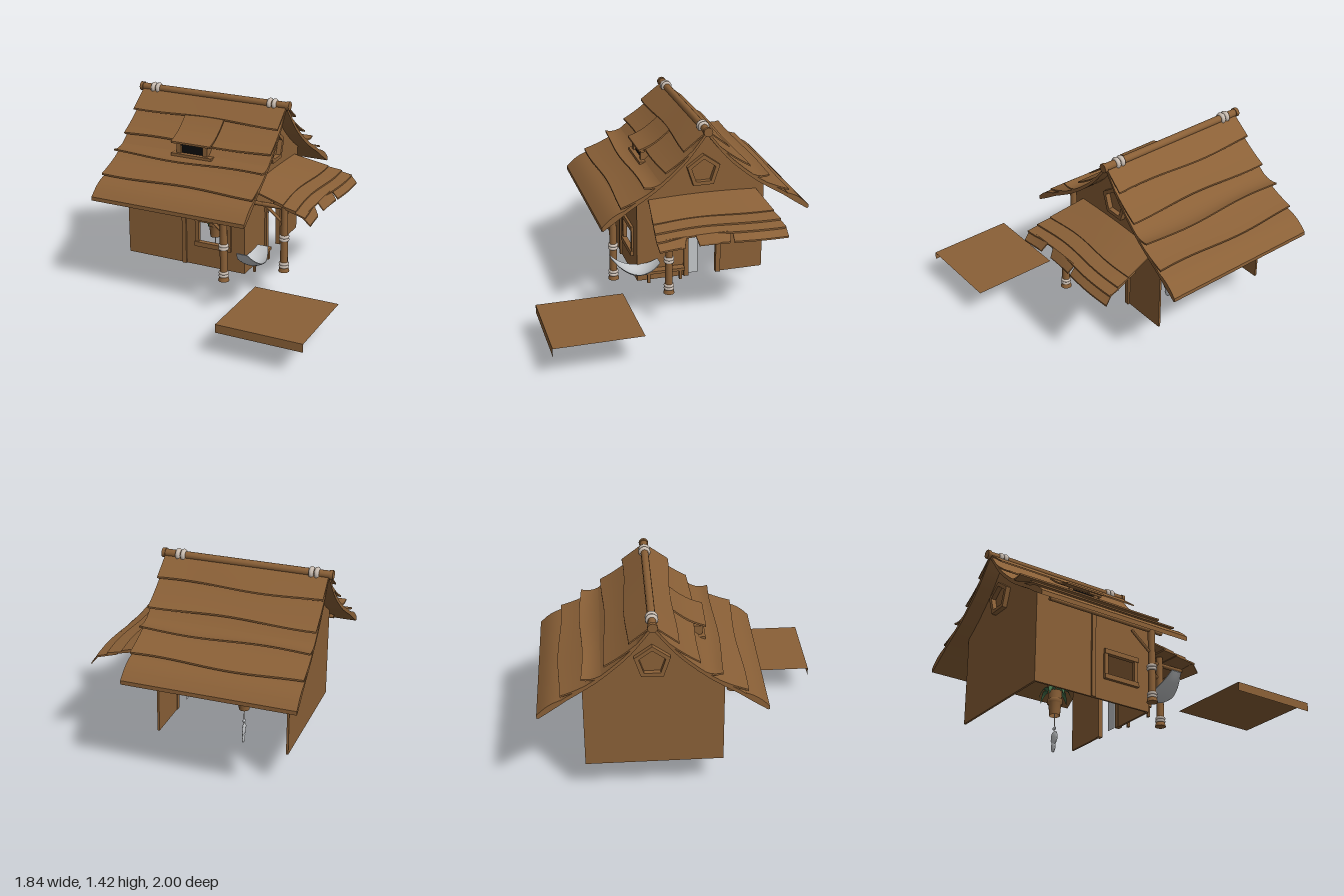
import * as THREE from 'three';

const mat = (name, color, side = THREE.FrontSide) => {
  const m = new THREE.MeshStandardMaterial({ color, side });
  m.name = name;
  return m;
};

export function createModel() {
  const wood = mat('wood', 0x8a6037, THREE.DoubleSide);
  const rope = mat('rope', 0xc9bdb2);
  const cloth = mat('cloth', 0xc2c5c8, THREE.DoubleSide);
  const leaf = mat('leaf', 0x44704a, THREE.DoubleSide);
  const dark = mat('dark opening', 0x0c0c0c);
  const root = new THREE.Group();
  root.name = 'hut';
  const V = (x, y, z) => new THREE.Vector3(x, y, z);
  const lerp = THREE.MathUtils.lerp;

  const add = (name, geo, m, parent = root) => {
    const mesh = new THREE.Mesh(geo, m);
    mesh.name = name;
    parent.add(mesh);
    return mesh;
  };
  const box = (name, x0, x1, y0, y1, z0, z1, m = wood) => {
    const b = add(name, new THREE.BoxGeometry(x1 - x0, y1 - y0, z1 - z0), m);
    b.position.set((x0 + x1) / 2, (y0 + y1) / 2, (z0 + z1) / 2);
    return b;
  };
  const rod = (name, a, b, r0, r1 = r0, m = wood) => {
    const d = b.clone().sub(a);
    const c = add(name, new THREE.CylinderGeometry(r1, r0, d.length(), 12), m);
    c.position.copy(a).add(b).multiplyScalar(0.5);
    c.quaternion.setFromUnitVectors(V(0, 1, 0), d.normalize());
    return c;
  };
  // Bent board: rule(a, c) gives a point for a, c in 0..1, thickness is added in y
  const slab = (name, rule, thick, m = wood, parent = root, na = 16, nc = 6) => {
    const g = new THREE.BoxGeometry(1, 1, 1, na, 1, nc), p = g.attributes.position;
    for (let i = 0; i < p.count; i++) {
      const [x, y, z] = rule(p.getX(i) + 0.5, p.getZ(i) + 0.5);
      p.setXYZ(i, x, y + p.getY(i) * thick, z);
    }
    g.computeVertexNormals();
    return add(name, g, m, parent);
  };
  const shapeOf = pts => new THREE.Shape(pts.map(p => new THREE.Vector2(p[0], p[1])));
  const extrude = (shape, depth) => new THREE.ExtrudeGeometry(shape, { depth, bevelEnabled: false });

  // Roof profile: distance from the ridge line and height
  const RIDGE = -0.24;
  const deck = [[0, 1.365], [0.08, 1.26], [0.16, 1.165], [0.26, 1.075], [0.36, 0.995],
    [0.46, 0.93], [0.56, 0.87], [0.66, 0.8], [0.76, 0.735]];
  const deckY = o => {
    const i = Math.min(7, Math.max(0, deck.findIndex(d => d[0] > o) - 1));
    const k = o >= 0.76 ? 7 : i, [a, b] = [deck[k], deck[k + 1]];
    return lerp(a[1], b[1], (o - a[0]) / (b[0] - a[0]));
  };
  const roofX = (a, o) => lerp(-0.893 - 0.034 * o, 0.253 + 0.034 * o, a);

  // Main roof: a deck, an eave lip and overlapping plank courses, mirrored at the ridge
  const courses = [[0.0, 1.375, 0.16, 1.25, 0], [0.1, 1.245, 0.305, 1.1, 0.008],
    [0.28, 1.065, 0.46, 1.01, 0.028], [0.38, 0.985, 0.61, 0.885, 0.008]];
  for (const s of [1, -1]) {
    const side = new THREE.Group();
    side.name = s > 0 ? 'frontRoof' : 'backRoof';
    side.position.z = RIDGE;
    side.scale.z = s;
    root.add(side);
    slab('roofDeck', (a, c) => [roofX(a, c * 0.75), deckY(c * 0.75), c * 0.75], 0.03, wood, side, 1, 16);
    slab('eaveLip', (a, c) => {
      const o = lerp(0.6, 0.757, c);
      return [roofX(a, o), deckY(o) + 0.018 * Math.sin(c * Math.PI) + 0.005, o];
    }, 0.028, wood, side);
    courses.forEach(([o0, y0, o1, y1, sag], i) => slab('roofCourse', (a, c) => {
      const wave = 0.01 * Math.sin(a * 7 + i * 2 + s) * c;
      const o = lerp(o0, o1, c) + wave;
      return [roofX(a, o), lerp(y0, y1, c) - sag * 4 * c * (1 - c) - wave * 0.5, o];
    }, 0.012, wood, side));
  }

  // Ridge pole with rope lashings
  rod('ridgePole', V(-0.9, 1.375, RIDGE), V(0.26, 1.375, RIDGE), 0.027);
  for (const x of [-0.91, 0.265]) rod('ridgeEnd', V(x - 0.012, 1.375, RIDGE), V(x + 0.012, 1.375, RIDGE), 0.033);
  for (const x of [-0.812, -0.775, 0.125, 0.162]) {
    const t = add('ridgeRope', new THREE.TorusGeometry(0.024, 0.018, 8, 18), rope);
    t.rotation.y = Math.PI / 2;
    t.position.set(x, 1.375, RIDGE);
  }

  // Front wall with window hole
  const front = shapeOf([[-0.785, 0.25], [0.15, 0.25], [0.15, 0.9], [-0.785, 0.9]]);
  front.holes.push(shapeOf([[-0.205, 0.44], [-0.205, 0.595], [0.018, 0.595], [0.018, 0.44]]));
  add('frontWall', extrude(front, 0.015), wood).position.z = 0.222;
  box('windowTop', -0.235, 0.05, 0.595, 0.63, 0.23, 0.255);
  box('windowSill', -0.235, 0.05, 0.405, 0.44, 0.23, 0.26);
  for (const x of [-0.235, 0.018]) box('windowSide', x, x + 0.03, 0.44, 0.595, 0.23, 0.25);
  box('wallBatten', -0.34, -0.308, 0.25, 0.88, 0.232, 0.25);

  // Gable walls; the one on the porch side has a doorway
  const slope = deck.filter(d => d[0] < 0.46).map(([o, y]) => [o, y - 0.01]);
  const top = [[0.235, 0.915], ...slope.slice().reverse().map(([o, y]) => [RIDGE + o, y]),
    ...slope.slice(1).map(([o, y]) => [RIDGE - o, y]), [-0.7, 0.92]];
  const door = [[-0.345, 0.25], [-0.345, 0.6], [-0.14, 0.6], [-0.14, 0.25]];
  const gable = (name, pts, x) => {
    const g = add(name, extrude(shapeOf(pts), 0.015), wood);
    g.rotation.y = -Math.PI / 2;
    g.position.x = x;
  };
  gable('doorWall', [[-0.7, 0.25], ...door, [0.235, 0.25], ...top], 0.15);
  gable('sideWall', [[-0.7, 0.25], [0.235, 0.25], ...top], -0.77);
  for (const z of [-0.38, -0.14]) box('doorJamb', 0.13, 0.165, 0.25, 0.6, z, z + 0.035);
  box('doorHead', 0.13, 0.17, 0.6, 0.635, -0.385, -0.1);
  // Curtain gathered to one side of the doorway
  const curtain = add('doorCurtain', new THREE.ShapeGeometry(
    shapeOf([[-0.22, 0.25], [-0.14, 0.25], [-0.14, 0.6], [-0.3, 0.6], [-0.22, 0.53]])), cloth);
  curtain.rotation.y = -Math.PI / 2;
  curtain.position.x = 0.125;

  // Five-sided gable frames
  const penta = r => [0, 1, 2, 3, 4].map(i => {
    const t = Math.PI / 2 + i * Math.PI * 0.4;
    return [r * Math.cos(t), r * Math.sin(t)];
  });
  for (const x of [0.185, -0.75]) {
    const ring = shapeOf(penta(0.125));
    ring.holes.push(shapeOf(penta(0.092)));
    const f = add('gableFrame', extrude(ring, 0.07), wood);
    f.rotation.y = -Math.PI / 2;
    f.position.set(x, 1.055, RIDGE);
  }

  // Roof vent with propped flap
  slab('ventFlap', (a, c) => [lerp(-0.478, -0.168, a), lerp(1.25, 1.115, c) - 0.02 * Math.sin(c * Math.PI),
    lerp(-0.09, 0.137, c)], 0.014);
  box('ventOpening', -0.42, -0.225, 1.03, 1.105, 0.0, 0.1, dark);
  for (const x of [-0.445, -0.235]) box('ventSide', x, x + 0.035, 1.02, 1.1, -0.04, 0.115);
  box('ventSill', -0.478, -0.158, 1.01, 1.034, 0.06, 0.135);
  box('ventProp', -0.28, -0.175, 1.1, 1.115, 0.09, 0.12);

  // Porch awning in three courses, the last one ending in split tongues
  const awnZ = (x, c) => {
    const k = (x - 0.27) / 0.36;
    return lerp(lerp(-0.66, -0.72, k), lerp(0.17, 0.22, k), c);
  };
  const awning = (x0, y0, x1, y1, c0, c1, taper = 0) => slab('awningCourse', (a, c) => {
    const cc = lerp(c0 + taper * a, c1 - taper * a, c);
    const x = lerp(x0, x1, a) + 0.012 * a * Math.sin(cc * 7);
    return [x, lerp(y0, y1, a) + 0.012 * Math.sin(cc * Math.PI), awnZ(x, cc)];
  }, 0.012, wood, root, 4, 14);
  awning(0.15, 0.865, 0.41, 0.8, 0, 1);
  awning(0.34, 0.805, 0.51, 0.775, 0, 1);
  awning(0.44, 0.78, 0.585, 0.745, 0, 1);
  for (const [c0, c1] of [[0, 0.42], [0.43, 0.7], [0.77, 1]]) awning(0.575, 0.748, 0.622, 0.69, c0, c1, c0 ? 0.02 : 0);

  // Porch posts with flared feet, ropes and braces
  for (const [x, z, h] of [[0.062, 0.39, 0.82], [0.38, 0.068, 0.79]]) {
    rod('porchPost', V(x, 0.25, z), V(x, h, z), 0.028, 0.025);
    rod('postFoot', V(x, 0.25, z), V(x, 0.29, z), 0.04, 0.029);
    for (const y of [0.289, 0.311, 0.496, 0.518]) {
      const t = add('postRope', new THREE.TorusGeometry(0.025, 0.012, 8, 18), rope);
      t.rotation.x = Math.PI / 2;
      t.position.set(x, y, z);
    }
    rod('postBrace', V(x, 0.61, z), V(x - 0.17, 0.75, z), 0.011);
  }
  rod('porchBeam', V(0.13, 0.735, 0.068), V(0.58, 0.735, 0.068), 0.016);
  rod('frontBeam', V(-0.78, 0.79, 0.39), V(0.15, 0.79, 0.39), 0.014);

  // Hammock
  slab('hammock', (a, c) => {
    const k = 2 * a - 1, w = 0.04 + 0.048 * Math.sin(Math.PI * c);
    return [0.23 + k * w, 0.505 - 0.535 * c + 0.46 * c * c + 0.03 * k * k * Math.sin(Math.PI * c), lerp(0.1, 0.45, 1 - c)];
  }, 0.006, cloth, root, 10, 14).material = cloth;

  // Bench against the wall
  box('benchSeat', 0.15, 0.21, 0.318, 0.338, -0.1, 0.19);
  for (const z of [-0.08, 0.155]) box('benchLeg', 0.188, 0.204, 0.25, 0.318, z, z + 0.02);

  // Platform: deck board and front skirt
  const platform = add('platformTop', new THREE.PlaneGeometry(0.62, 0.62), wood);
  platform.rotation.x = -Math.PI / 2;
  platform.position.set(0.61, 0.245, 0.69);
  add('platformSkirt', new THREE.PlaneGeometry(0.62, 0.06), wood).position.set(0.61, 0.215, 1);

  // Hanging planter with leaves
  const px = -0.32;
  const pot = [[0.038, 0.27], [0.046, 0.36], [0.056, 0.362], [0.056, 0.39], [0.047, 0.392], [0.055, 0.5]];
  add('planter', new THREE.LatheGeometry(pot.map(p => new THREE.Vector2(...p)), 16), wood).position.set(px, 0, RIDGE);
  for (let i = 0; i < 7; i++) {
    const l = slab('leaf', (a, c) => [(a - 0.5) * 0.05 * Math.sin(Math.PI * Math.min(1, c * 0.9 + 0.1)),
      0.07 * Math.sin(c * 2.6) - 0.07 * c * c, 0.03 + c * 0.09], 0.003, leaf, root, 2, 6);
    l.position.set(px, 0.42, RIDGE);
    l.rotation.y = i * Math.PI * 2 / 7;
  }

  // Shell chime below the planter
  rod('chimeString', V(px, 0.1, RIDGE), V(px, 0.29, RIDGE), 0.003, 0.003, rope);
  for (const [y, h, w, dz] of [[0.175, 0.012, 0.022, 0], [0.105, 0.052, 0.044, 0], [0.04, 0.04, 0.028, -0.008]]) {
    const s = add('chimeShell', new THREE.SphereGeometry(1, 7, 5), cloth);
    s.scale.set(0.01, h, w);
    s.position.set(px, y, RIDGE + dz);
  }
  return root;
}
